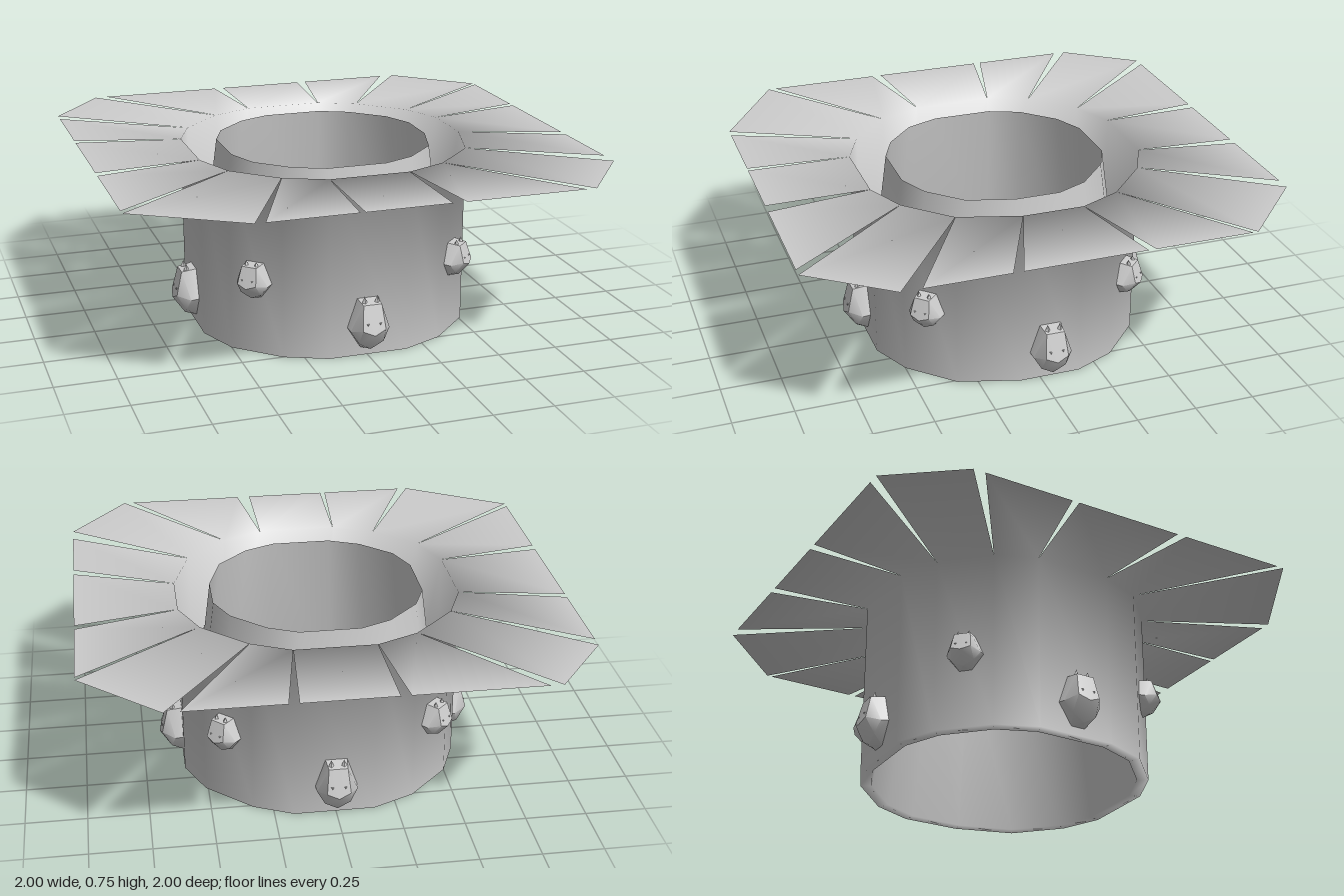
import * as THREE from 'three';
import { ConvexGeometry } from 'three/addons/geometries/ConvexGeometry.js';
import { toCreasedNormals } from 'three/addons/utils/BufferGeometryUtils.js';

const HEIGHT = 0.75;

// One row per slit, going round: wall corner x,z, then the slit's two ends on the brim edge x,z
const SLITS = [
  [-0.16, -0.585, -0.21, -1, -0.17, -1],
  [0.17, -0.585, 0.2, -1, 0.24, -1],
  [0.33, -0.51, 0.63, -1, 0.69, -1],
  [0.51, -0.34, 1, -0.71, 1, -0.69],
  [0.585, -0.17, 1, -0.29, 1, -0.26],
  [0.585, 0.08, 1, 0.23, 1, 0.27],
  [0.51, 0.33, 1, 0.61, 1, 0.69],
  [0.34, 0.5, 0.76, 1, 0.72, 1],
  [0.17, 0.575, 0.23, 1, 0.175, 1],
  [-0.16, 0.575, -0.165, 1, -0.185, 1],
  [-0.33, 0.5, -0.54, 1, -0.58, 1],
  [-0.5, 0.34, -1, 0.74, -1, 0.71],
  [-0.57, 0.16, -1, 0.25, -1, 0.21],
  [-0.57, -0.17, -1, -0.25, -1, -0.28],
  [-0.5, -0.34, -1, -0.66, -1, -0.71],
  [-0.33, -0.51, -0.78, -1, -0.73, -1],
];
const N = SLITS.length;

// Distance of each stud from the axis, starting at the front and turning to the left
const STUD_RADII = [0.578, 0.597, 0.588, 0.6, 0.588, 0.597, 0.573, 0.592];

const sheetMaterial = new THREE.MeshStandardMaterial({ color: 0xcccccc, side: THREE.DoubleSide });
const studMaterial = new THREE.MeshStandardMaterial({ color: 0xcccccc });

// The wall polygon, scaled, at a height
const wallRing = (scale, y) => SLITS.map(([x, z]) => [x * scale, y, z * scale]);

// One continuous smooth sheet: tapering inner tube, bottom lip, outer wall, flat slit brim
function makeSheet() {
  const rings = [
    wallRing(0.75, HEIGHT),
    wallRing(0.92, 0),
    wallRing(1, 0),
    wallRing(1, HEIGHT),
    SLITS.map((s) => [s[2], HEIGHT, s[3]]),
    SLITS.map((s) => [s[4], HEIGHT, s[5]]),
  ];
  const index = [];
  const quad = (a, b, c, d) => index.push(a, b, c, a, c, d);
  for (let i = 0; i < N; i++) {
    const j = (i + 1) % N;
    for (let k = 0; k < 3; k++) quad(k * N + i, k * N + j, (k + 1) * N + j, (k + 1) * N + i);
    // brim flap between two slits
    quad(3 * N + i, 3 * N + j, 4 * N + j, 5 * N + i);
  }
  const geometry = new THREE.BufferGeometry();
  geometry.setAttribute('position', new THREE.Float32BufferAttribute(rings.flat(2), 3));
  geometry.setIndex(index);
  geometry.computeVertexNormals();
  const mesh = new THREE.Mesh(geometry, sheetMaterial);
  mesh.name = 'tubeWallAndBrim';
  return mesh;
}

// Faceted stud with two small horns; local +z points away from the wall
function makeStud(name) {
  const stud = new THREE.Group();
  stud.name = name;
  const add = (part, geometry) => {
    const mesh = new THREE.Mesh(toCreasedNormals(geometry, 0.75), studMaterial);
    mesh.name = part;
    stud.add(mesh);
    return mesh;
  };
  const points = [new THREE.Vector3(0, -0.02, 0.092), new THREE.Vector3(0, -0.095, 0.04)];
  for (const s of [-1, 1]) {
    for (const [x, y, z] of [
      [0.038, 0.1, 0.058], [0.044, 0.11, -0.004], [0.085, -0.01, -0.004], [0.082, -0.015, 0.03],
      [0.048, 0, 0.083], [0.052, -0.065, 0.045], [0.03, -0.1, -0.004],
    ]) points.push(new THREE.Vector3(s * x, y, z));
    // horns
    add('horn', new THREE.ConeGeometry(0.018, 0.045, 4)).position.set(s * 0.026, 0.108, 0.035);
    // small triangular marks on the outer face
    const mark = add('mark', new THREE.ConeGeometry(0.017, 0.012, 3));
    mark.position.set(s * 0.026, 0.025, 0.077);
    mark.rotation.x = Math.PI / 2 - 0.25;
  }
  add('studBody', new ConvexGeometry(points));
  return stud;
}

export function createModel() {
  const model = new THREE.Group();
  model.add(makeSheet());

  // Large low studs on the four sides, small high ones between them
  STUD_RADII.forEach((radius, k) => {
    const small = k % 2 === 1;
    const angle = (k * Math.PI) / 4;
    const stud = makeStud(small ? 'smallStud' : 'largeStud');
    stud.position.set(Math.sin(angle) * radius, small ? 0.312 : 0.135, Math.cos(angle) * radius);
    if (k === 2) stud.position.z = -0.04;
    stud.rotation.y = angle;
    if (small) stud.scale.set(0.86, 0.69, 0.86);
    model.add(stud);
  });
  return model;
}
